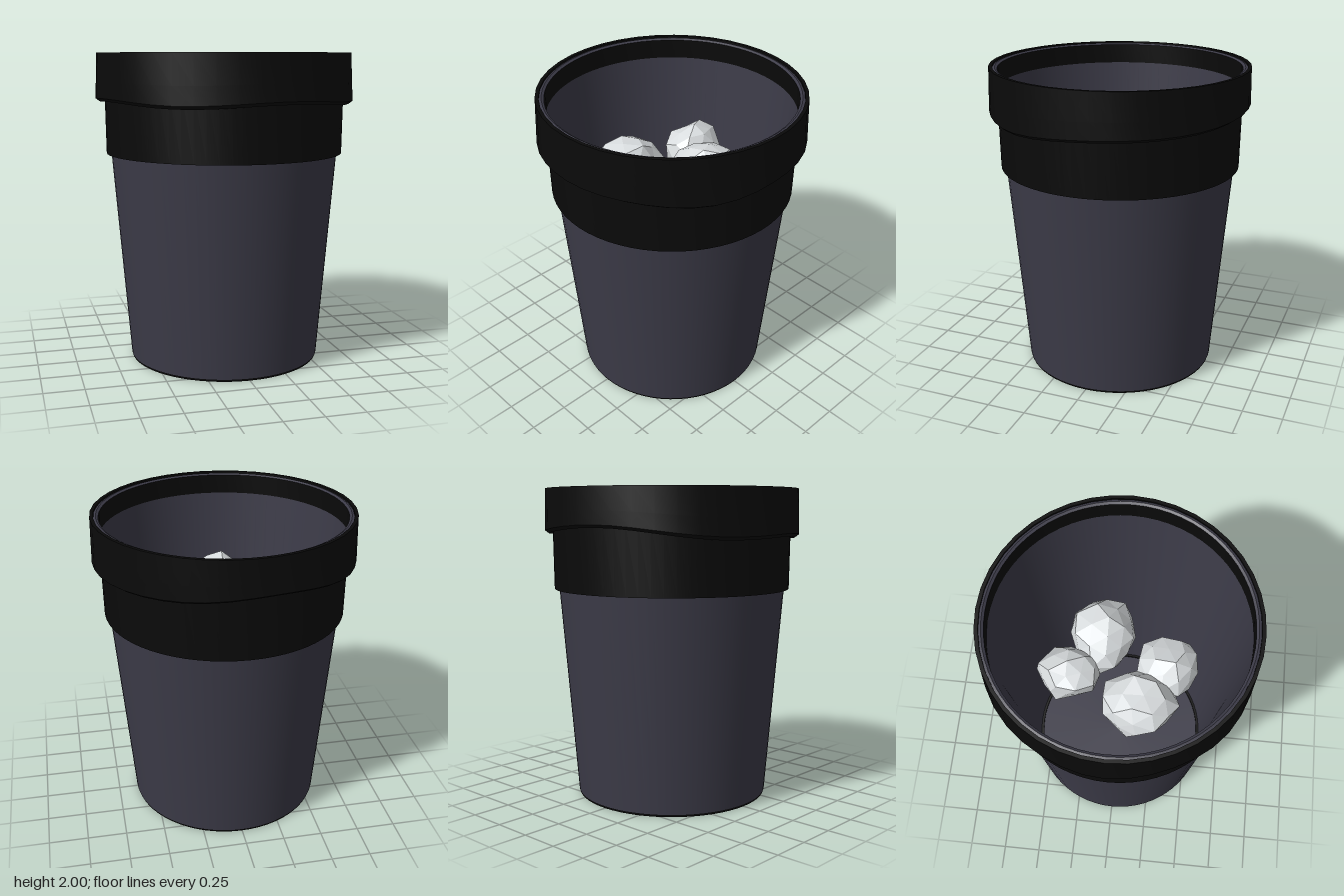
import * as THREE from 'three';
import { toCreasedNormals } from 'three/addons/utils/BufferGeometryUtils.js';

export function createModel() {
  const bin = new THREE.Group();
  bin.name = 'wasteBin';

  const material = (name, color, options = {}) =>
    new THREE.MeshStandardMaterial({ name, color, ...options });
  const slate = material('slate plastic', 0x3c3b48, { side: THREE.DoubleSide });
  const black = material('black liner', 0x0a0a0a, { side: THREE.DoubleSide });
  const paper = material('white paper', 0xd9dddf, { flatShading: true });

  const add = (name, geometry, mat) => {
    const mesh = new THREE.Mesh(geometry, mat);
    mesh.name = name;
    bin.add(mesh);
    return mesh;
  };
  // Revolved part from [radius, height] pairs, listed upward on the outside
  const lathe = (points, segments = 64) =>
    new THREE.LatheGeometry(points.map(([r, y]) => new THREE.Vector2(r, y)), segments);
  const turned = (name, points, mat) =>
    add(name, toCreasedNormals(lathe(points), 0.6), mat);

  // Tapered bucket
  turned('outerWall', [[0.625, 0.015], [0.735, 1.36], [0.772, 1.82]], slate);
  turned('innerWall', [[0.767, 1.86], [0.6, 0.02]], slate);
  turned('floor', [[0.0001, 0.015], [0.61, 0.015], [0.61, 0.022], [0.0001, 0.022]], slate);
  turned('footRing', [[0.585, 0.035], [0.585, 0], [0.62, 0], [0.625, 0.015], [0.605, 0.035], [0.585, 0.035]], black);

  // Rim bead and the dark bands around the mouth
  turned('rimBead', [[0.797, 1.988], [0.78, 1.994], [0.765, 1.985]], slate);
  turned('innerBand', [[0.765, 1.985], [0.767, 1.85]], black);
  turned('outerBand', [[0.735, 1.36], [0.766, 1.36], [0.772, 1.8]], black);

  // Folded-over liner with an uneven hem
  const fold = lathe([[0.77, 1.74], [0.802, 1.69], [0.828, 1.71], [0.824, 1.82], [0.818, 2], [0.796, 2], [0.795, 1.985]], 40);
  const pos = fold.attributes.position;
  for (let i = 0; i < pos.count; i++) {
    const x = pos.getX(i), y = pos.getY(i), z = pos.getZ(i);
    const angle = Math.atan2(x, z);
    const loose = THREE.MathUtils.clamp((2 - y) / 0.3, 0, 1);
    const backLift = Math.max(0, -Math.cos(angle)) ** 2 * 0.06;
    const wave = 0.012 * Math.sin(4 * angle + 0.6);
    const swell = 1 + 0.006 * Math.sin(7 * angle) * loose;
    pos.setXYZ(i, x * swell, y + (backLift + wave) * loose, z * swell);
  }
  add('linerFold', toCreasedNormals(fold, 0.7), black);

  // Crumpled paper balls: centre and radii, dented by a position hash
  const balls = [
    [[-0.11, 1.42, -0.31], [0.18, 0.18, 0.2]],
    [[0.16, 1.42, -0.12], [0.24, 0.22, 0.22]],
    [[-0.27, 1.4, 0.14], [0.21, 0.21, 0.24]],
    [[-0.01, 1.39, 0.3], [0.2, 0.2, 0.2]],
  ];
  const hash = (x, y, z, seed) => {
    const s = Math.sin(Math.round(x * 100) * 12.99 + Math.round(y * 100) * 78.23 + Math.round(z * 100) * 37.72 + seed * 9.1) * 4375.85;
    return s - Math.floor(s);
  };
  balls.forEach(([centre, radii], n) => {
    const geometry = new THREE.IcosahedronGeometry(1, 1);
    const p = geometry.attributes.position;
    for (let i = 0; i < p.count; i++) {
      const x = p.getX(i), y = p.getY(i), z = p.getZ(i);
      const k = 0.84 + 0.24 * hash(x, y, z, n + 1);
      p.setXYZ(i, x * k, y * k, z * k);
    }
    geometry.rotateY(n * 1.3);
    geometry.rotateX(n * 0.7);
    geometry.scale(...radii);
    geometry.computeVertexNormals();
    add('paperBall' + (n + 1), geometry, paper).position.set(...centre);
  });

  return bin;
}
